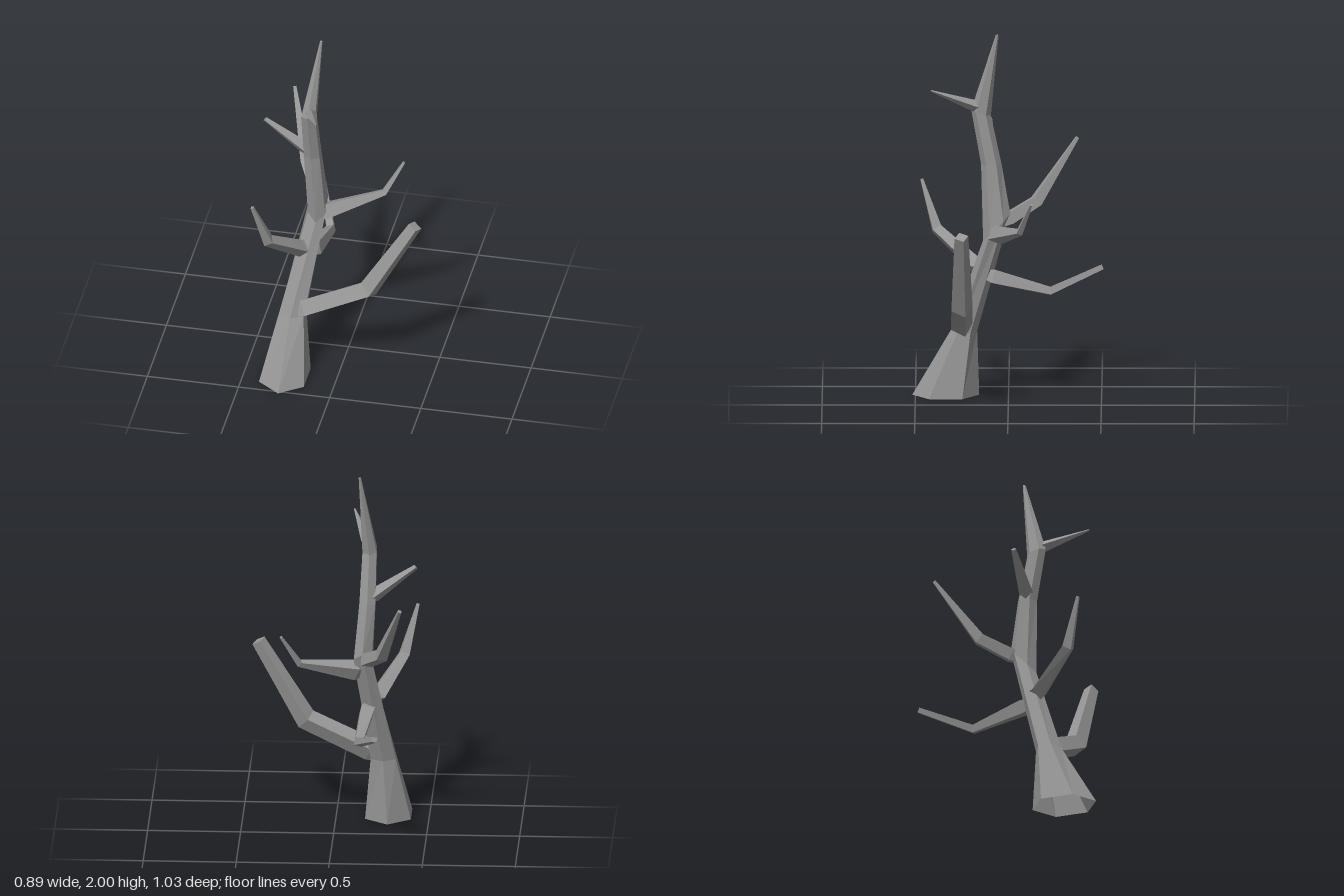
import * as THREE from 'three';

const bark = new THREE.MeshStandardMaterial({ color: 0x969696, flatShading: true, side: THREE.DoubleSide });

// Skin a list of equal-sided rings, closing the last one.
function skin(name, rings) {
  const n = rings[0].length;
  const pos = rings.flat().flatMap((p) => [p.x, p.y, p.z]);
  const idx = [];
  for (let r = 0; r < rings.length - 1; r++) {
    for (let i = 0; i < n; i++) {
      const a = r * n + i, b = r * n + (i + 1) % n;
      idx.push(a, b, b + n, a, b + n, a + n);
    }
  }
  const top = (rings.length - 1) * n;
  for (let i = 1; i < n - 1; i++) idx.push(top, top + i, top + i + 1);
  const indexed = new THREE.BufferGeometry();
  indexed.setAttribute('position', new THREE.Float32BufferAttribute(pos, 3));
  indexed.setIndex(idx);
  const geo = indexed.toNonIndexed();
  geo.computeVertexNormals();
  const mesh = new THREE.Mesh(geo, bark);
  mesh.name = name;
  return mesh;
}

// Six-sided trunk ring: centre, radii in x and z, tilt in y along z.
function trunkRing([x, y, z, rx, rz, tilt = 0]) {
  return Array.from({ length: 6 }, (_, i) => {
    const a = (i * Math.PI) / 3;
    const dz = Math.cos(a) * rz;
    return new THREE.Vector3(x + (Math.sin(a) / Math.sin(Math.PI / 3)) * rx, y + dz * tilt, z + dz);
  });
}

// Four-sided branch through [x, y, z, radius] points; the first lies inside the trunk.
function branch(name, rollDegrees, points) {
  const path = points.map((p) => new THREE.Vector3(p[0], p[1], p[2]));
  const roll = THREE.MathUtils.degToRad(rollDegrees);
  const rings = path.map((c, k) => {
    const t = new THREE.Vector3();
    if (k > 0) t.add(c.clone().sub(path[k - 1]).normalize());
    if (k < path.length - 1) t.add(path[k + 1].clone().sub(c).normalize());
    t.normalize();
    const u = new THREE.Vector3(0, 1, 0).addScaledVector(t, -t.y).normalize();
    const v = t.clone().cross(u);
    return [0, 1, 2, 3].map((i) => {
      const a = roll + (i * Math.PI) / 2;
      return c.clone()
        .addScaledVector(u, Math.cos(a) * points[k][3])
        .addScaledVector(v, Math.sin(a) * points[k][3]);
    });
  });
  return skin(name, rings);
}

export function createModel() {
  const tree = new THREE.Group();
  tree.name = 'bareTree';

  // Leaning trunk, flared and open at the foot, tapering to a point
  tree.add(skin('trunk', [
    [-0.28, 0, 0.337, 0.123, 0.18],
    [-0.257, 0.355, 0.24, 0.068, 0.072],
    [-0.155, 0.945, 0.063, 0.048, 0.073, -1],
    [-0.178, 1.285, 0.092, 0.043, 0.055],
    [-0.187, 1.565, 0.147, 0.038, 0.053, 0.3],
    [-0.138, 2, 0.06, 0.006, 0.008],
  ].map(trunkRing)));

  // Branches, from the lowest up
  tree.add(
    branch('largeLeftBranch', 18, [
      [-0.255, 0.36, 0.245, 0.035], [-0.185, 0.394, 0.25, 0.061],
      [0.16, 0.562, 0.248, 0.06], [0.416, 1.003, 0.25, 0.039]]),
    branch('lowBackBranch', 30, [
      [-0.195, 0.68, 0.14, 0.03], [-0.175, 0.668, 0.075, 0.052],
      [-0.145, 0.597, -0.225, 0.03], [-0.243, 0.708, -0.503, 0.019]]),
    branch('frontRightBranch', 0, [
      [-0.2, 0.73, 0.12, 0.03], [-0.225, 0.722, 0.175, 0.05],
      [-0.362, 0.893, 0.385, 0.036], [-0.432, 1.152, 0.467, 0.011]]),
    branch('backLeftBranch', 20, [
      [-0.16, 0.895, 0.08, 0.03], [-0.115, 0.908, 0.063, 0.056],
      [0.182, 0.985, -0.063, 0.022], [0.278, 1.153, -0.124, 0.009]]),
    branch('backRightBranch', 30, [
      [-0.16, 0.965, 0.035, 0.03], [-0.178, 0.985, 0, 0.046],
      [-0.265, 1.065, -0.15, 0.041], [-0.373, 1.393, -0.37, 0.012]]),
    branch('upperRightTwig', 0, [
      [-0.18, 1.3, 0.095, 0.025], [-0.213, 1.323, 0.097, 0.039],
      [-0.437, 1.485, 0.103, 0.014]]),
    branch('upperFrontTwig', 0, [
      [-0.183, 1.59, 0.14, 0.02], [-0.17, 1.605, 0.18, 0.032],
      [-0.094, 1.702, 0.415, 0.005]]),
  );
  return tree;
}
